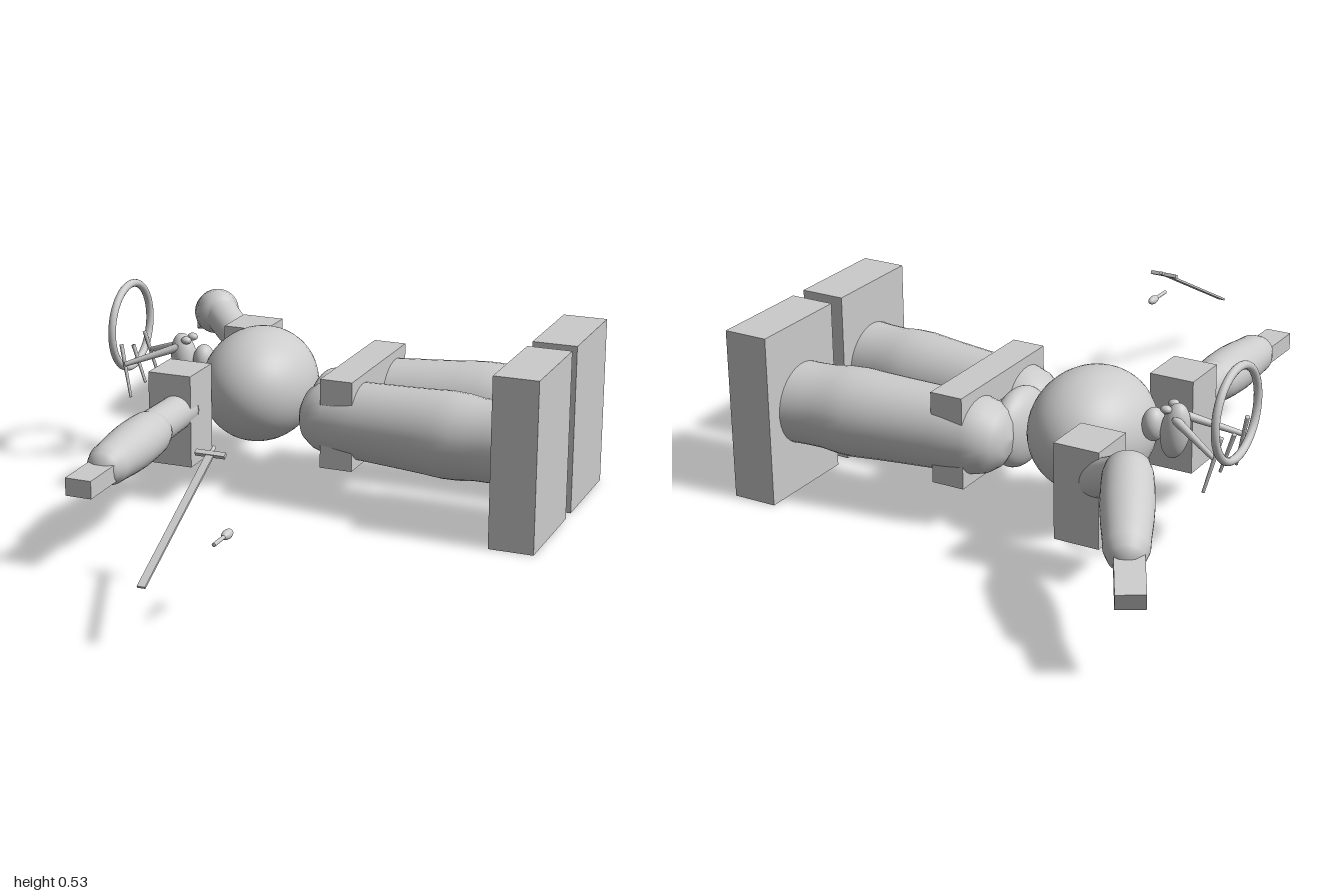
import * as THREE from 'three';

const MID = -0.273; // z of the body's plane of symmetry
const UP = new THREE.Vector3(0, 1, 0);

export function createModel() {
  const model = new THREE.Group();
  const grey = new THREE.MeshStandardMaterial({ color: 0xcccccc });

  function add(name, geometry, x = 0, y = 0, z = 0) {
    const mesh = new THREE.Mesh(geometry, grey);
    mesh.name = name;
    mesh.position.set(x, y, z);
    model.add(mesh);
    return mesh;
  }
  // Box given by its extents
  function box(name, x0, x1, y0, y1, z0, z1) {
    return add(name, new THREE.BoxGeometry(x1 - x0, y1 - y0, z1 - z0),
      (x0 + x1) / 2, (y0 + y1) / 2, (z0 + z1) / 2);
  }
  function ellipsoid(name, x, y, z, rx, ry, rz) {
    const mesh = add(name, new THREE.SphereGeometry(1, 40, 28), x, y, z);
    mesh.scale.set(rx, ry, rz);
    return mesh;
  }
  // Turn a mesh so that its y axis runs from a to b, starting at a
  function along(mesh, a, b) {
    const start = new THREE.Vector3(...a);
    const dir = new THREE.Vector3(...b).sub(start).normalize();
    mesh.position.copy(start);
    mesh.quaternion.setFromUnitVectors(UP, dir);
    return mesh;
  }
  // Round limb from a to b, with a profile of [radius, fraction of length]
  function limb(name, a, b, profile) {
    const length = new THREE.Vector3(...a).distanceTo(new THREE.Vector3(...b));
    const points = profile.map(([r, t]) => new THREE.Vector2(r, t * length));
    return along(add(name, new THREE.LatheGeometry(points, 32)), a, b);
  }
  const rod = (name, a, b, r0, r1 = r0) =>
    limb(name, a, b, [[0, 0], [r0, 0], [r0, 0.02], [r1, 0.98], [r1, 1], [0, 1]]);

  // Torso and pelvis
  ellipsoid('torso', -0.199, 0.271, MID, 0.161, 0.162, 0.195);
  ellipsoid('pelvis', 0.02, 0.229, MID, 0.056, 0.108, 0.118);

  // Belt plates above and below the hips
  box('frontBeltPlate', 0.068, 0.161, 0.3, 0.373, -0.48, -0.063);
  box('backBeltPlate', 0.068, 0.161, 0.12, 0.19, -0.48, -0.063);

  // Legs, feet and shoulder blocks
  const legProfile = [[0, 0], [0.045, 0.012], [0.075, 0.04], [0.096, 0.09], [0.107, 0.16],
    [0.108, 0.3], [0.111, 0.42], [0.113, 0.5], [0.116, 0.6], [0.12, 0.7], [0.118, 0.78],
    [0.112, 0.85], [0.111, 0.93], [0.112, 1]];
  for (const [side, s] of [['left', 1], ['right', -1]]) {
    limb(side + 'Leg', [-0.02, 0.24, MID + s * 0.11], [0.6, 0.242, MID + s * 0.166], legProfile);
    const foot = MID + s * 0.173;
    box(side + 'Foot', 0.59, 0.715, 0, 0.475, foot - 0.149, foot + 0.149);
    const shoulder = MID + s * 0.253;
    box(side + 'Shoulder', -0.393, -0.267, 0.111, 0.371, shoulder - 0.069, shoulder + 0.069);
  }

  // Arms: upper arm, forearm and hand
  const forearm = [[0, 0], [0.035, 0.025], [0.055, 0.08], [0.062, 0.16], [0.065, 0.28],
    [0.066, 0.45], [0.063, 0.6], [0.058, 0.75], [0.056, 0.85], [0.045, 0.94], [0.025, 0.985], [0, 1]];
  const arms = [
    ['left', [-0.313, 0.263, 0], [-0.313, 0.26, 0.22], [-0.313, 0.256, 0.155],
      [-0.313, 0.24, 0.508], [-0.313, 0.233, 0.48], [-0.313, 0.231, 0.62]],
    ['right', [-0.33, 0.26, -0.53], [-0.5, 0.36, -0.65], [-0.478, 0.379, -0.605],
      [-0.632, 0.265, -0.9], [-0.62, 0.268, -0.865], [-0.686, 0.222, -0.98]],
  ];
  for (const [side, shoulder, elbow, top, wrist, palm, tip] of arms) {
    rod(side + 'UpperArm', shoulder, elbow, 0.048, 0.052);
    limb(side + 'Forearm', top, wrist, forearm);
    const a = new THREE.Vector3(...palm), b = new THREE.Vector3(...tip);
    const hand = add(side + 'Hand', new THREE.BoxGeometry(0.073, 0.048, a.distanceTo(b)));
    hand.position.copy(a).lerp(b, 0.5);
    hand.lookAt(b);
  }

  // Neck, head and eyes
  ellipsoid('neck', -0.375, 0.32, MID, 0.03, 0.045, 0.035);
  ellipsoid('head', -0.436, 0.315, MID, 0.038, 0.077, 0.037).rotation.z = 0.15;
  for (const s of [-1, 1]) ellipsoid('eye', -0.42, 0.378, MID + s * 0.022, 0.015, 0.011, 0.013);

  // Antlers: a beam on each side, ending in a cross spike, and a middle spike
  for (const s of [-1, 1]) {
    rod('antlerBeam', [-0.445, 0.355, MID + s * 0.02], [-0.585, 0.305, MID + s * 0.085], 0.012, 0.007);
    rod('antlerSpike', [-0.6, 0.36, MID + s * 0.075], [-0.563, 0.212, MID + s * 0.095], 0.006, 0.004);
  }
  rod('middleSpike', [-0.6, 0.34, MID], [-0.563, 0.23, MID], 0.006, 0.004);

  // Halo ring beyond the head
  const halo = add('halo', new THREE.TorusGeometry(0.122, 0.011, 14, 56), -0.605, 0.398, MID);
  halo.rotation.y = Math.PI / 2;

  // Sword lying on a slope in front of the body
  const sword = new THREE.Group();
  sword.name = 'sword';
  sword.position.set(0.05, 0.367, 0.607);
  sword.rotation.x = Math.atan2(0.205, 0.393);
  const swordParts = [
    ['blade', new THREE.BoxGeometry(0.021, 0.006, 0.443), 0.2215],
    ['guard', new THREE.BoxGeometry(0.08, 0.01, 0.014), 0],
    ['grip', new THREE.CylinderGeometry(0.005, 0.005, 0.025, 16).rotateX(Math.PI / 2), -0.012],
  ];
  for (const [name, geometry, z] of swordParts) {
    const part = add(name, geometry, 0, 0, z);
    sword.add(part);
  }
  model.add(sword);

  // Small mace
  ellipsoid('maceHead', 0.157, 0.222, 0.748, 0.012, 0.012, 0.024);
  rod('maceHandle', [0.157, 0.222, 0.76], [0.157, 0.222, 0.826], 0.005);

  return model;
}
